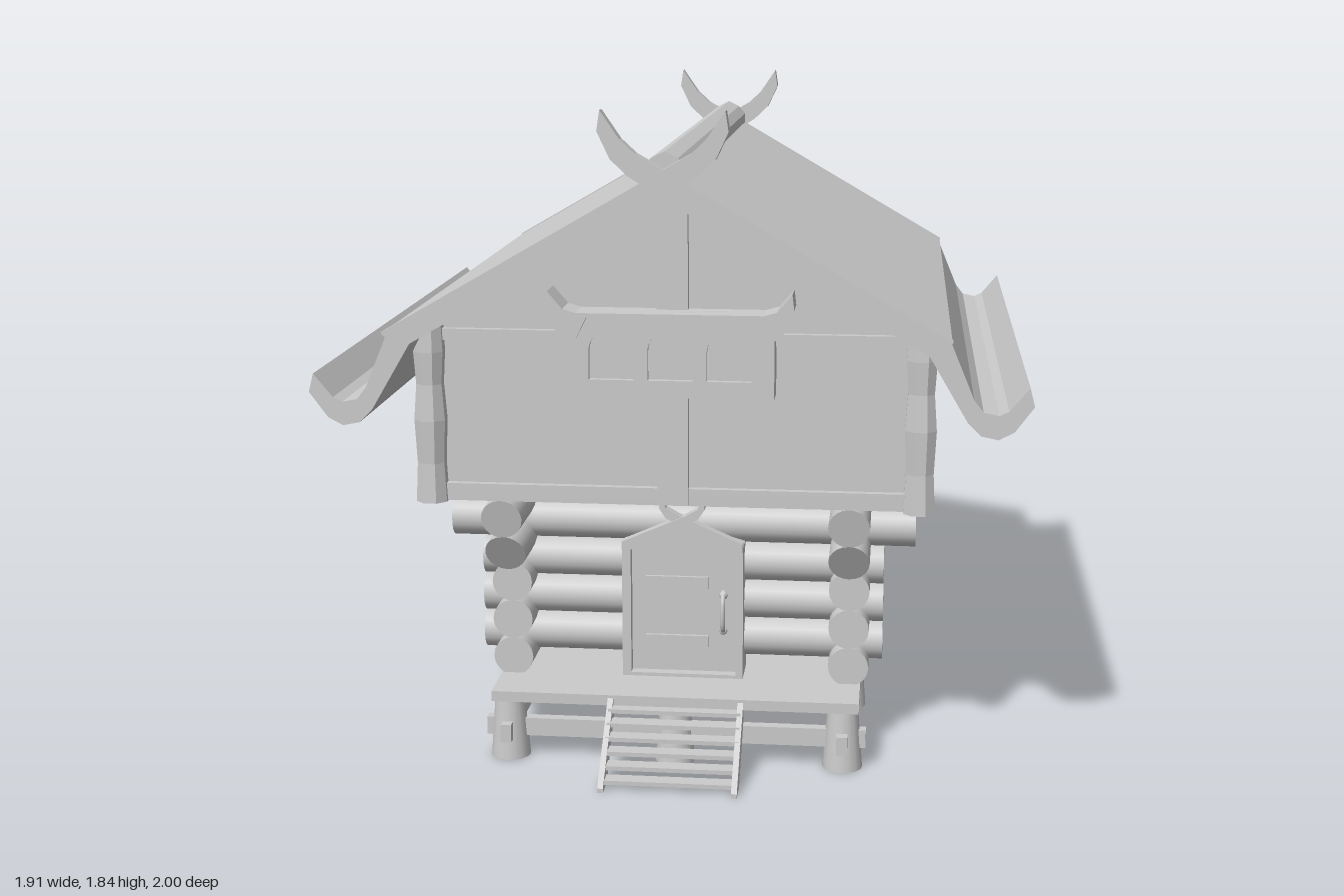
import * as THREE from 'three';

const mat = new THREE.MeshStandardMaterial({ color: 0xcccccc, side: THREE.DoubleSide });
const flat = new THREE.MeshStandardMaterial({ color: 0xcccccc, flatShading: true, side: THREE.DoubleSide });

export function createModel() {
  const model = new THREE.Group();

  const add = (name, geometry, x = 0, y = 0, z = 0, material = mat, parent = model) => {
    const mesh = new THREE.Mesh(geometry, material);
    mesh.name = name;
    mesh.position.set(x, y, z);
    parent.add(mesh);
    return mesh;
  };
  // box given by its limits on each axis
  const box = (name, x0, x1, y0, y1, z0, z1, parent) =>
    add(name, new THREE.BoxGeometry(x1 - x0, y1 - y0, z1 - z0),
      (x0 + x1) / 2, (y0 + y1) / 2, (z0 + z1) / 2, mat, parent);
  // outline in x/y, extruded from z0 to z1
  const toShape = (pts, s = 1) => new THREE.Shape(pts.map(([x, y]) => new THREE.Vector2(x * s, y)));
  const slab = (name, shape, z0, z1, parent) =>
    add(name, new THREE.ExtrudeGeometry(shape, { depth: z1 - z0, bevelEnabled: false, curveSegments: 8 }),
      0, 0, z0, mat, parent);

  // foundation stumps around the edge, with rails through them
  const stump = new THREE.CylinderGeometry(0.042, 0.056, 0.18, 16);
  for (const z of [0.745, 0.265, -0.195, -0.655])
    for (const x of [-0.47, 0, 0.47])
      if (x !== 0 || Math.abs(z) > 0.5) add('stump', stump, x, 0.09, z);
  for (const z of [0.745, -0.655]) box('crossRail', -0.535, 0.535, 0.06, 0.112, z - 0.015, z + 0.015);
  for (const x of [-0.47, 0.47]) box('sideRail', x - 0.015, x + 0.015, 0.06, 0.112, -0.73, 0.82);
  box('platform', -0.515, 0.515, 0.17, 0.2, -0.73, 0.79);

  // front steps
  const stringer = toShape([[0.78, 0.2], [1, 0.012], [1, 0], [0.925, 0], [0.78, 0.135]]);
  for (const x of [-0.177, 0.187]) {
    const g = new THREE.ExtrudeGeometry(stringer, { depth: 0.016, bevelEnabled: false });
    add('stairSide', g, x + 0.008, 0, 0).rotation.y = -Math.PI / 2;
    g.translate(0, 0, 0);
  }
  for (let i = 0; i < 6; i++) {
    const y = 0.02 + i * 0.029, z = 0.955 - i * 0.031;
    box('stairTread', -0.18, 0.19, y - 0.006, y + 0.006, z - 0.022, z + 0.022);
  }

  // log walls: cross logs sit half a step above the long logs
  const R = 0.057;
  const crossHalf = [0.575, 0.575, 0.575, 0.663, 0.692];
  for (let i = 0; i < 5; i++) {
    const y = 0.3 + i * 0.1125;
    for (const z of [0.522, -0.67]) {
      const g = new THREE.CylinderGeometry(R, R, crossHalf[i] * 2, 20);
      add('crossLog', g.rotateZ(Math.PI / 2), 0, y, z);
    }
  }
  // long logs; the two upper ones have raked front ends
  const frontEnd = [[0.635, 0], [0.635, 0], [0.635, 0], [0.725, 0.6], [0.772, 0.25]];
  frontEnd.forEach(([end, rake], i) => {
    for (const x of [-0.48, 0.48]) {
      const g = new THREE.CylinderGeometry(R, R, end + 0.787, 20);
      g.rotateX(Math.PI / 2).translate(0, 0, (end - 0.787) / 2);
      const p = g.attributes.position;
      for (let k = 0; k < p.count; k++) if (p.getZ(k) > 0) p.setZ(k, p.getZ(k) + p.getY(k) * rake);
      g.computeVertexNormals();
      add('longLog', g, x, 0.25 + i * 0.1115, 0);
    }
  });

  // door: gabled frame, leaf, hinges, handle and crossed trim
  const door = new THREE.Group();
  door.name = 'door';
  model.add(door);
  const frame = toShape([[-0.165, 0.2], [-0.165, 0.59], [0.005, 0.665], [0.18, 0.59], [0.18, 0.2]]);
  frame.holes.push(new THREE.Path([[-0.14, 0.21], [0.16, 0.21], [0.16, 0.575], [0.005, 0.635], [-0.14, 0.575]]
    .map(([x, y]) => new THREE.Vector2(x, y))));
  slab('doorFrame', frame, 0.5, 0.625, door);
  slab('doorLeaf', toShape([[-0.14, 0.2], [-0.14, 0.575], [0.005, 0.635], [0.16, 0.575], [0.16, 0.2]]), 0.52, 0.595, door);
  for (const y of [0.3, 0.475]) box('hinge', -0.1, 0.08, y - 0.018, y + 0.018, 0.59, 0.605, door);
  const grip = new THREE.CatmullRomCurve3([[0.122, 0.33, 0.59], [0.122, 0.35, 0.622], [0.122, 0.43, 0.622], [0.122, 0.45, 0.59]]
    .map(p => new THREE.Vector3(...p)));
  add('doorHandle', new THREE.TubeGeometry(grip, 12, 0.007, 8), 0, 0, 0, mat, door);
  for (const y of [0.335, 0.44]) add('handleBoss', new THREE.SphereGeometry(0.012, 10, 8), 0.122, y, 0.6, mat, door);
  const doorTrim = [[-0.172, 0.575], [-0.172, 0.6], [0.01, 0.68], [0.045, 0.70], [0.06, 0.73], [0.065, 0.7], [0.045, 0.67], [0.01, 0.655]];
  for (const s of [1, -1])
    slab('doorTrim', toShape(doorTrim.map(([x, y]) => [x + 0.007 * s, y]), s), 0.6, s > 0 ? 0.634 : 0.63, door);

  // upper storey with gables
  slab('upperStorey', toShape([[-0.655, 0.755], [-0.655, 1.24], [0, 1.62], [0.655, 1.24], [0.655, 0.755]]), -0.765, 0.765);
  for (const s of [1, -1]) {
    const a = Math.min(s * 0.765, s * 0.785), b = Math.max(s * 0.765, s * 0.785);
    box('gableSill', -0.65, 0.65, 0.752, 0.8, a, b);
    box('gableRail', -0.65, 0.65, 1.2, 1.232, a, b);
    box('gablePost', -0.042, 0.042, 0.755, 1.61, Math.min(s * 0.765, s * 0.79), Math.max(s * 0.765, s * 0.79));
    const c = Math.min(s * 0.655, s * 0.672), d = Math.max(s * 0.655, s * 0.672);
    box('sideSill', c, d, 0.752, 0.8, -0.75, 0.75);
    box('sideRail', c, d, 1.18, 1.23, -0.75, 0.75);
  }

  // carved corner posts
  const postProfile = [[0, 0.75], [0.046, 0.75], [0.04, 0.86], [0.046, 0.98], [0.038, 1.08], [0.044, 1.17], [0.04, 1.25], [0, 1.25]]
    .map(([x, y]) => new THREE.Vector2(x, y));
  const post = new THREE.LatheGeometry(postProfile, 8, Math.PI / 8);
  for (const x of [-0.667, 0.667]) for (const z of [-0.78, 0.78]) add('cornerPost', post, x, 0, z, flat);

  // arched window boxes on both gables
  for (const turn of [0, Math.PI]) {
    const win = new THREE.Group();
    win.name = 'windowBox';
    win.rotation.y = turn;
    model.add(win);
    const front = toShape([[-0.278, 1.067], [-0.278, 1.225], [-0.225, 1.29], [0.225, 1.29], [0.278, 1.225], [0.278, 1.067]]);
    for (const x of [-0.158, 0, 0.158]) {
      const arch = new THREE.Path();
      arch.moveTo(x - 0.06, 1.113);
      arch.lineTo(x + 0.06, 1.113);
      arch.lineTo(x + 0.06, 1.19);
      arch.absarc(x, 1.19, 0.06, 0, Math.PI, false);
      arch.lineTo(x - 0.06, 1.113);
      front.holes.push(arch);
    }
    slab('windowFront', front, 0.83, 0.85, win);
    slab('windowBody', toShape([[-0.278, 1.067], [-0.278, 1.225], [-0.225, 1.29], [0.225, 1.29], [0.278, 1.225], [0.278, 1.067]]), 0.76, 0.832, win);
    // upturned horns at the lid ends
    const horn = [[0.215, 1.295], [0.25, 1.295], [0.285, 1.305], [0.325, 1.352], [0.33, 1.31], [0.305, 1.25], [0.28, 1.228], [0.25, 1.225]];
    for (const s of [1, -1]) slab('windowHorn', toShape(horn, s), 0.765, 0.865, win);
    box('windowLid', -0.225, 0.225, 1.283, 1.295, 0.76, 0.865, win);
  }

  // roof slopes, gutters and gable boards with crossed horns
  const slope = [[0, 1.685], [-0.74, 1.256], [-0.7, 1.213], [0, 1.618]];
  const gutter = [[-0.735, 1.256], [-0.8, 1.1], [-0.825, 1.068], [-0.865, 1.06], [-0.89, 1.072], [-0.942, 1.135],
    [-0.955, 1.085], [-0.905, 1.017], [-0.865, 0.996], [-0.82, 1.005], [-0.785, 1.04], [-0.67, 1.235]];
  const board = [[-0.742, 1.258], [0, 1.688], [0.07, 1.728], [0.11, 1.765], [0.16, 1.838],
    [0.168, 1.785], [0.135, 1.715], [0.09, 1.672], [0, 1.615], [-0.7, 1.21]];
  for (const s of [1, -1]) {
    slab('roofSlope', toShape(slope, s), -0.96, 0.96);
    slab('eaveGutter', toShape(gutter, s), -0.95, 0.95);
    const inset = s > 0 ? 0 : 0.004;
    slab('gableBoard', toShape(board, s), 0.955, 1 - inset);
    slab('gableBoard', toShape(board, s), -1 + inset, -0.955);
  }
  // ridge cap
  slab('ridgeCap', toShape([[-0.056, 1.66], [-0.056, 1.69], [-0.035, 1.715], [0, 1.732], [0.035, 1.715], [0.056, 1.69], [0.056, 1.66]]), -0.955, 0.955);

  return model;
}
